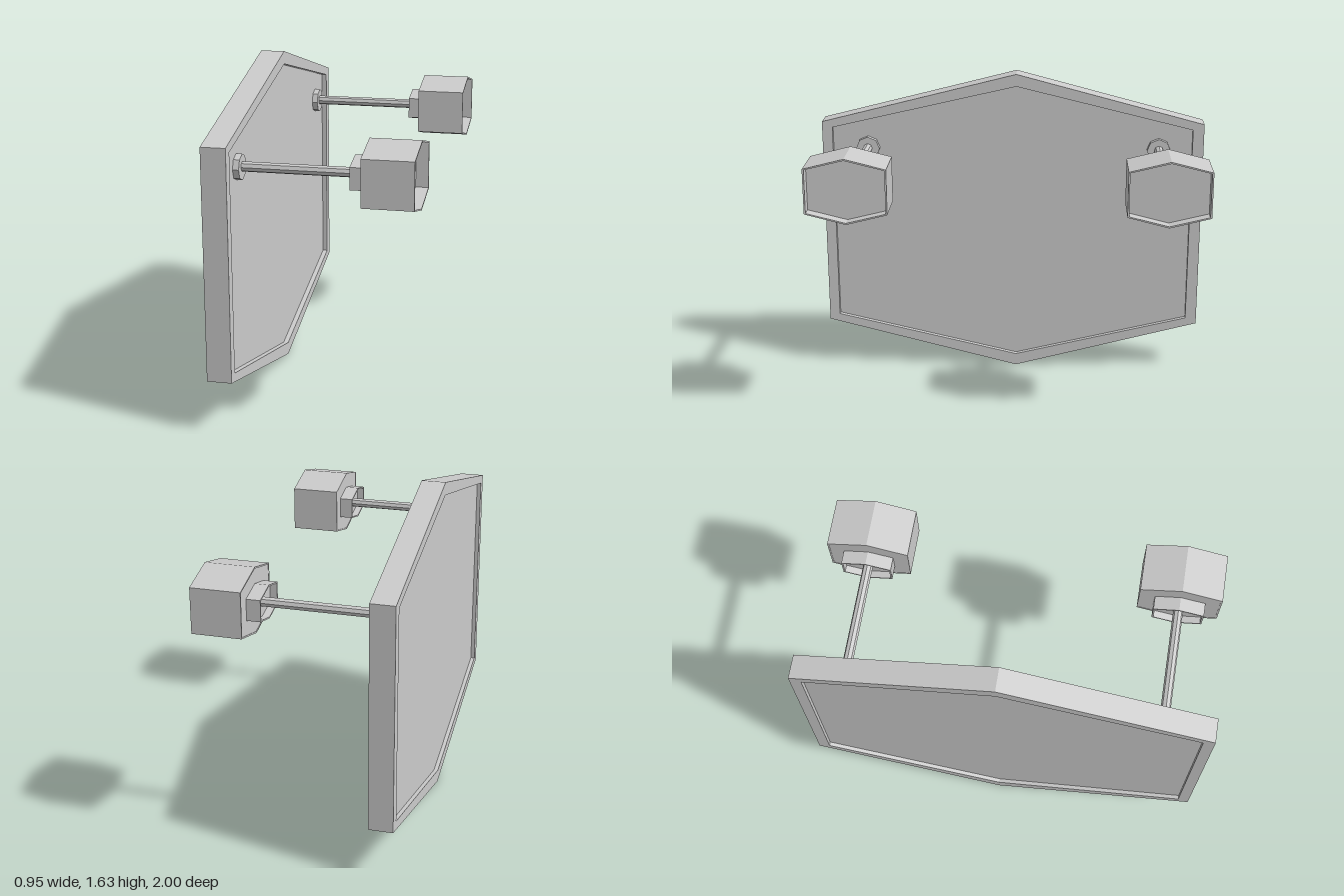
import * as THREE from 'three';

const material = new THREE.MeshStandardMaterial({ color: 0xcccccc, flatShading: true });

// Upright hexagon centred on (z, y); apexZ shifts the top and bottom points
function hexPoints(z, y, halfWidth, halfSide, halfHeight, apexZ = z) {
  return [
    [z + halfWidth, y - halfSide], [apexZ, y - halfHeight], [z - halfWidth, y - halfSide],
    [z - halfWidth, y + halfSide], [apexZ, y + halfHeight], [z + halfWidth, y + halfSide],
  ].map(([pz, py]) => new THREE.Vector2(-pz, py));
}

// Extrude an outline along x from x0 to x1
function slab(name, points, x0, x1, hole) {
  const shape = new THREE.Shape(points);
  if (hole) shape.holes.push(new THREE.Path(hole));
  const geometry = new THREE.ExtrudeGeometry(shape, { depth: x1 - x0, bevelEnabled: false });
  geometry.rotateY(Math.PI / 2).translate(x0, 0, 0);
  const mesh = new THREE.Mesh(geometry, material);
  mesh.name = name;
  return mesh;
}

// Hexagonal rim around a recessed plate
function framed(name, outer, inner, x0, x1, backInset, frontInset) {
  const group = new THREE.Group();
  group.name = name;
  group.add(slab(name + 'Rim', outer, x0, x1, inner));
  group.add(slab(name + 'Plate', inner, x0 + backInset, x1 - frontInset));
  return group;
}

// Eight-sided bar along x
function bar(name, radius, x0, x1, y, z) {
  const geometry = new THREE.CylinderGeometry(radius, radius, x1 - x0, 8);
  geometry.rotateZ(Math.PI / 2);
  const mesh = new THREE.Mesh(geometry, material);
  mesh.position.set((x0 + x1) / 2, y, z);
  mesh.name = name;
  return mesh;
}

export function createModel() {
  const model = new THREE.Group();
  model.name = 'signPanelWithLamps';

  // Large board with a raised rim on both faces
  model.add(framed('board',
    hexPoints(0, 0.813, 1, 0.555, 0.813, -0.02),
    hexPoints(0.002, 0.813, 0.944, 0.525, 0.749, -0.02),
    -0.477, -0.359, 0.02, 0.025));

  // Two lamps on arms
  const y = 1.23;
  for (const [side, z] of [['left', -0.767], ['right', 0.762]]) {
    const lamp = new THREE.Group();
    lamp.name = side + 'Lamp';
    lamp.add(bar('mountingFlange', 0.062, -0.39, -0.355, y - 0.005, z));
    lamp.add(bar('arm', 0.024, -0.39, 0.22, y - 0.002, z));
    lamp.add(framed('socket',
      hexPoints(z, y, 0.122, 0.052, 0.081),
      hexPoints(z, y, 0.114, 0.047, 0.074), 0.17, 0.237, 0.035, 0.005));
    lamp.add(framed('shade',
      hexPoints(z, y, 0.198, 0.111, 0.161),
      hexPoints(z, y, 0.19, 0.106, 0.153), 0.235, 0.474, 0.002, 0.06));
    model.add(lamp);
  }
  return model;
}
